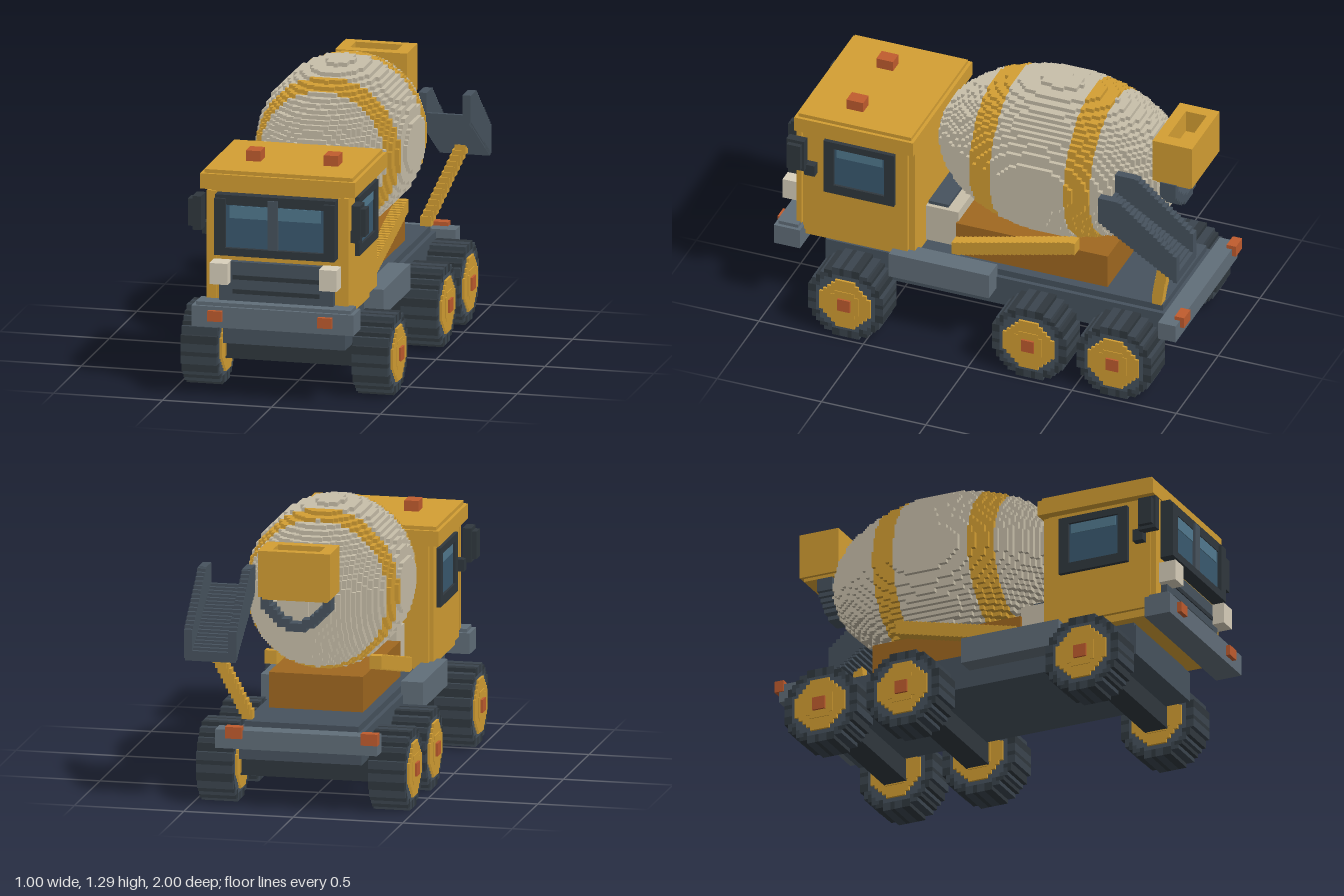
import * as THREE from 'three';

const C = {
  yellow: 0xd49f33, brown: 0xa06820, cream: 0xc8bfaa, dark: 0x30383e, tread: 0x3b454e, mid: 0x47535e,
  light: 0x616e79, orange: 0xc05c2e, lamp: 0xd9d0bc, glass: 0x3a5a70, sky: 0x527a90,
};
const S = 0.0188; // cell size of the stepped surfaces
const mats = {};
const mat = (c) => (mats[c] ??= new THREE.MeshStandardMaterial({ color: C[c], flatShading: true }));

// Box given by its limits on each axis
function box(parent, name, color, x0, x1, y0, y1, z0, z1) {
  const m = new THREE.Mesh(new THREE.BoxGeometry(x1 - x0, y1 - y0, z1 - z0), mat(color));
  m.position.set((x0 + x1) / 2, (y0 + y1) / 2, (z0 + z1) / 2);
  m.name = name;
  parent.add(m);
  return m;
}

// Same box on both sides
function pair(parent, name, color, x0, x1, ...rest) {
  box(parent, name + 'Left', color, x0, x1, ...rest);
  box(parent, name + 'Right', color, -x1, -x0, ...rest);
}

// Shell of the cells where colorAt returns a colour, one mesh per colour
function cells(name, n, size, colorAt) {
  const group = new THREE.Group();
  group.name = name;
  const at = (p) => colorAt(...p.map((v, k) => (v + 0.5 - n[k] / 2) * size[k]));
  const faces = {};
  for (let i = 0; i < n[0]; i++) for (let j = 0; j < n[1]; j++) for (let k = 0; k < n[2]; k++) {
    const color = at([i, j, k]);
    if (!color) continue;
    const out = (faces[color] ??= []);
    for (let a = 0; a < 3; a++) for (const d of [-1, 1]) {
      const next = [i, j, k];
      next[a] += d;
      if (next[a] >= 0 && next[a] < n[a] && at(next)) continue;
      const u = (a + 1) % 3, v = (a + 2) % 3;
      const corner = (du, dv) => {
        const p = [i, j, k];
        p[a] += d > 0 ? 1 : 0;
        p[u] += du;
        p[v] += dv;
        return p.map((w, q) => (w - n[q] / 2) * size[q]);
      };
      const q = [corner(0, 0), corner(1, 0), corner(1, 1), corner(0, 1)];
      if (d < 0) q.reverse();
      for (const t of [0, 1, 2, 0, 2, 3]) out.push(...q[t]);
    }
  }
  for (const color in faces) {
    const g = new THREE.BufferGeometry();
    g.setAttribute('position', new THREE.Float32BufferAttribute(faces[color], 3));
    g.computeVertexNormals();
    const m = new THREE.Mesh(g, mat(color));
    m.name = name + color;
    group.add(m);
  }
  return group;
}

// Stepped bar of small blocks between two points
function steppedBar(parent, name, color, a, b, w, h, d, count) {
  const g = new THREE.Group();
  g.name = name;
  for (let i = 0; i < count; i++) {
    const [x, y, z] = a.map((v, k) => v + ((b[k] - v) * i) / (count - 1));
    box(g, name + 'Block', color, x - w / 2, x + w / 2, y - h / 2, y + h / 2, z - d / 2, z + d / 2);
  }
  parent.add(g);
}

function wheel(side, z) {
  const g = new THREE.Group();
  g.name = 'wheel';
  const tire = cells('tire', [1, 19, 19], [0.165, S, S], (x, y, w) => {
    const r = Math.hypot(y, w);
    if (r > 0.179) return null;
    if (r < 0.148) return 'mid';
    return Math.floor((Math.atan2(y, w) / Math.PI + 1) * 16) % 2 ? 'dark' : 'tread';
  });
  const rim = cells('rim', [1, 13, 13], [0.187, S, S], (x, y, w) => (Math.hypot(y, w) < 0.12 ? 'yellow' : null));
  const ring = cells('rimStep', [1, 9, 9], [0.194, S, S], (x, y, w) => (Math.hypot(y, w) < 0.075 ? 'yellow' : null));
  g.add(tire, rim, ring);
  box(g, 'hub', 'orange', side > 0 ? 0 : -0.107, side > 0 ? 0.107 : 0, -0.03, 0.03, -0.03, 0.03);
  g.position.set(side * 0.393, 0.179, z);
  return g;
}

function createModel() {
  const model = new THREE.Group();
  model.name = 'mixerTruck';

  // Chassis, axles and wheels
  box(model, 'chassis', 'mid', -0.28, 0.28, 0.22, 0.36, -0.86, 0.77);
  box(model, 'deck', 'mid', -0.26, 0.26, 0.36, 0.39, -0.84, 0.75);
  for (const z of [0.595, -0.285, -0.69]) {
    box(model, 'axle', 'dark', -0.31, 0.31, 0.12, 0.225, z - 0.055, z + 0.055);
    model.add(wheel(1, z), wheel(-1, z));
  }
  pair(model, 'sideTank', 'light', 0.27, 0.37, 0.3, 0.42, -0.05, 0.43);
  box(model, 'rearBumper', 'light', -0.37, 0.37, 0.285, 0.37, -0.945, -0.86);
  box(model, 'tailLightRight', 'orange', -0.375, -0.3, 0.335, 0.388, -0.965, -0.92);
  box(model, 'tailLightLeft', 'orange', 0.245, 0.32, 0.335, 0.388, -0.965, -0.92);

  // Cab body and roof
  const cab = new THREE.Group();
  cab.name = 'cab';
  model.add(cab);
  box(cab, 'cabBody', 'yellow', -0.305, 0.305, 0.385, 0.96, 0.33, 0.885);
  pair(cab, 'door', 'yellow', 0.3, 0.322, 0.42, 0.95, 0.36, 0.86);
  pair(cab, 'frontPillar', 'yellow', 0.28, 0.325, 0.45, 0.95, 0.865, 0.89);
  box(cab, 'roof', 'yellow', -0.355, 0.355, 0.955, 1.025, 0.32, 0.89);
  box(cab, 'roofTop', 'yellow', -0.34, 0.34, 1.025, 1.042, 0.335, 0.875);
  for (const x of [-0.163, 0.194]) box(cab, 'beacon', 'orange', x - 0.033, x + 0.033, 1.04, 1.09, 0.61, 0.69);

  // Windshield: frame bars round two panes
  box(cab, 'windshieldSill', 'dark', -0.276, 0.276, 0.67, 0.705, 0.87, 0.95);
  box(cab, 'windshieldHead', 'dark', -0.276, 0.276, 0.9, 0.945, 0.87, 0.935);
  pair(cab, 'windshieldPost', 'dark', 0.226, 0.276, 0.67, 0.93, 0.87, 0.95);
  box(cab, 'windshieldGlass', 'glass', -0.23, 0.23, 0.7, 0.905, 0.87, 0.93);
  box(cab, 'windshieldShine', 'sky', -0.21, 0.21, 0.84, 0.897, 0.9, 0.934);
  box(cab, 'windshieldDivider', 'mid', -0.033, 0.014, 0.7, 0.93, 0.87, 0.945);

  // Side windows and mirrors
  pair(cab, 'sideWindowSill', 'dark', 0.3, 0.342, 0.655, 0.7, 0.417, 0.755);
  pair(cab, 'sideWindowHead', 'dark', 0.3, 0.342, 0.893, 0.925, 0.417, 0.755);
  for (const z of [0.417, 0.707]) pair(cab, 'sideWindowPost', 'dark', 0.3, 0.342, 0.69, 0.9, z, z + 0.048);
  pair(cab, 'sideGlass', 'glass', 0.3, 0.33, 0.695, 0.897, 0.46, 0.71);
  pair(cab, 'sideShine', 'sky', 0.3, 0.334, 0.845, 0.89, 0.475, 0.695);
  pair(cab, 'mirrorArm', 'dark', 0.315, 0.36, 0.735, 0.79, 0.79, 0.84);
  pair(cab, 'mirror', 'dark', 0.345, 0.385, 0.77, 0.925, 0.83, 0.915);
  pair(cab, 'mirrorShell', 'dark', 0.38, 0.407, 0.785, 0.91, 0.84, 0.905);

  // Grille, headlights and bumper
  box(cab, 'grille', 'mid', -0.262, 0.262, 0.45, 0.635, 0.87, 0.915);
  for (const y of [0.49, 0.555]) box(cab, 'grilleSlot', 'dark', -0.2, 0.2, y, y + 0.02, 0.9, 0.92);
  pair(cab, 'headlight', 'lamp', 0.21, 0.292, 0.54, 0.637, 0.88, 0.97);
  box(cab, 'frontBumper', 'light', -0.372, 0.372, 0.345, 0.44, 0.855, 0.98);
  box(cab, 'bumperTop', 'light', -0.355, 0.355, 0.44, 0.456, 0.87, 0.965);
  for (const x of [-0.262, 0.243]) box(cab, 'bumperLight', 'orange', x - 0.033, x + 0.033, 0.376, 0.424, 0.97, 1);

  // Drum cradle, struts and water tank
  box(model, 'cradle', 'brown', -0.215, 0.215, 0.385, 0.552, -0.557, 0.17);
  for (const s of [-1, 1]) {
    steppedBar(model, 'cradleStrut', 'yellow', [s * 0.24, 0.452, 0.15], [s * 0.24, 0.588, -0.4], 0.055, 0.06, 0.04, 26);
  }
  box(model, 'waterTank', 'cream', -0.2, 0.2, 0.42, 0.6, 0.165, 0.32);
  box(model, 'waterTankLid', 'mid', -0.18, 0.18, 0.6, 0.615, 0.22, 0.315);

  // Mixing drum with two painted bands
  const drum = cells('drum', [39, 40, 61], [S, S, S], (x, y, z) => {
    if ((x / 0.357) ** 2 + (y / 0.372) ** 2 + (z / 0.567) ** 2 > 1) return null;
    const w = z - 0.255;
    return (w > -0.03 && w < 0.065) || (w > -0.51 && w < -0.395) ? 'yellow' : 'cream';
  });
  drum.position.set(0, 0.915, -0.255);
  model.add(drum);

  // Loading hopper: four walls and a floor
  box(model, 'hopperFloor', 'yellow', -0.14, 0.16, 0.97, 1.09, -0.93, -0.77);
  box(model, 'hopperBack', 'yellow', -0.155, 0.175, 0.985, 1.195, -0.945, -0.905);
  box(model, 'hopperFront', 'yellow', -0.155, 0.175, 0.985, 1.195, -0.805, -0.755);
  box(model, 'hopperWallRight', 'yellow', -0.155, -0.1, 0.985, 1.195, -0.91, -0.8);
  box(model, 'hopperWallLeft', 'yellow', 0.115, 0.175, 0.985, 1.195, -0.91, -0.8);

  // Curved scoop under the hopper
  const scoop = cells('scoop', [17, 9, 4], [S, S, S], (x, y) => {
    const r = Math.hypot(x, y - 0.085);
    return r < 0.165 && r > 0.125 ? 'mid' : null;
  });
  scoop.position.set(0.02, 0.9, -0.83);
  model.add(scoop);

  // Discharge chute: stepped trough running down to the rear
  const chute = new THREE.Group();
  chute.name = 'chute';
  model.add(chute);
  const steps = 20, dz = 0.375 / steps;
  for (let i = 0; i < steps; i++) {
    const z1 = -0.625 - i * dz, z0 = z1 - dz;
    const low = 0.69 + (z0 + 1) * 0.64;
    const top = Math.min(1.055, 1.055 + (z1 + 0.715) * 0.84);
    box(chute, 'chuteFloor', 'mid', 0.265, 0.495, low, low + 0.045, z0, z1);
    for (const x of [0.26, 0.462]) box(chute, 'chuteWall', 'mid', x, x + 0.038, low + 0.01, top, z0, z1);
  }

  // Chute support
  steppedBar(model, 'chuteStrut', 'yellow', [0.385, 0.735, -0.905], [0.25, 0.42, -0.815], 0.05, 0.045, 0.045, 14);

  return model;
}

export { createModel };
